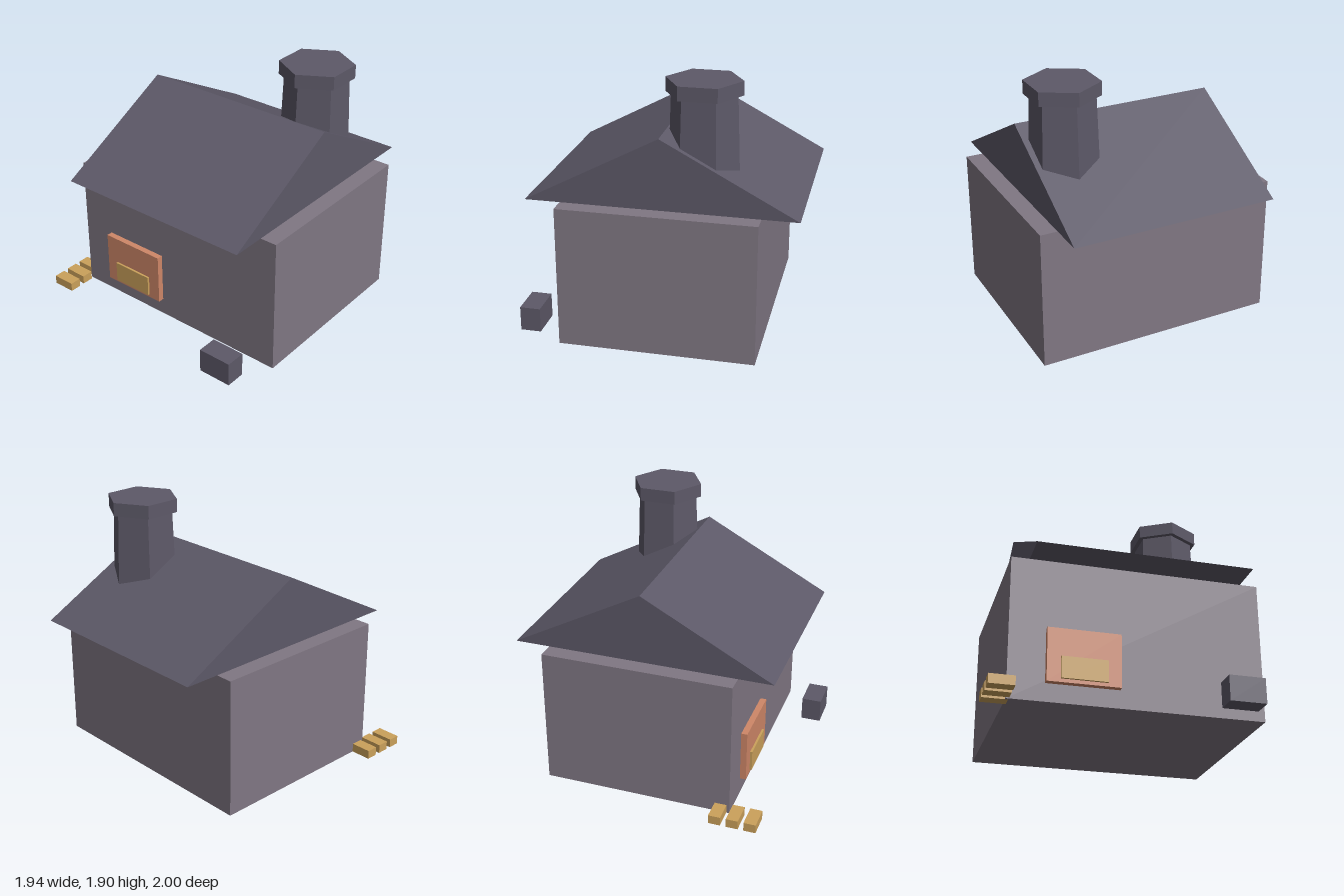
import * as THREE from 'three';

const material = (name, color) => {
  const m = new THREE.MeshStandardMaterial({ color, flatShading: true });
  m.name = name;
  return m;
};

export function createModel() {
  const group = new THREE.Group();
  group.name = 'cottage';

  const wall = material('mauve wall', 0x807783);
  const slate = material('slate', 0x5d5968);
  const clay = material('clay orange', 0xcf8768);
  const straw = material('straw yellow', 0xcba15b);

  const add = (name, geometry, mat) => {
    const mesh = new THREE.Mesh(geometry, mat);
    mesh.name = name;
    group.add(mesh);
    return mesh;
  };

  // Box given by its limits along each axis
  const box = (name, mat, [x0, x1], [y0, y1], [z0, z1]) =>
    add(name, new THREE.BoxGeometry(x1 - x0, y1 - y0, z1 - z0), mat)
      .position.set((x0 + x1) / 2, (y0 + y1) / 2, (z0 + z1) / 2);

  // House body
  box('walls', wall, [-0.82, 0.97], [0, 1.03], [-0.74, 0.665]);

  // Gable roof: triangle in the z-y plane, extruded along x
  const gable = new THREE.Shape([
    new THREE.Vector2(-0.92, 1.03),
    new THREE.Vector2(1.0, 1.03),
    new THREE.Vector2(0.04, 1.54),
  ]);
  const roof = new THREE.ExtrudeGeometry(gable, { depth: 1.535, bevelEnabled: false });
  roof.rotateY(Math.PI / 2).translate(-0.692, 0, 0);
  add('roof', roof, slate);

  // Six-sided tapering chimney with a wider cap
  const hexagon = (name, rTop, rBottom, y0, y1) =>
    add(name, new THREE.CylinderGeometry(rTop, rBottom, y1 - y0, 6), slate)
      .position.set(0.588, (y0 + y1) / 2, -0.297);
  hexagon('chimney', 0.23, 0.295, 0.01, 1.8);
  hexagon('chimneyCap', 0.268, 0.268, 1.8, 1.9);

  // Hearth panel on the front wall
  box('hearthPanel', clay, [-0.565, -0.055], [0.13, 0.515], [0.66, 0.71]);
  box('hearthGlow', straw, [-0.47, -0.15], [0.155, 0.31], [0.70, 0.726]);

  // Stone block in front
  box('stoneBlock', slate, [0.588, 0.843], [0, 0.18], [0.85, 1.0]);

  // Row of logs by the front corner
  for (let i = 0; i < 3; i++) {
    const z = 0.6 + i * 0.129;
    box(`log${i + 1}`, straw, [-0.975, -0.8], [0, 0.066], [z - 0.044, z + 0.044]);
  }

  return group;
}
